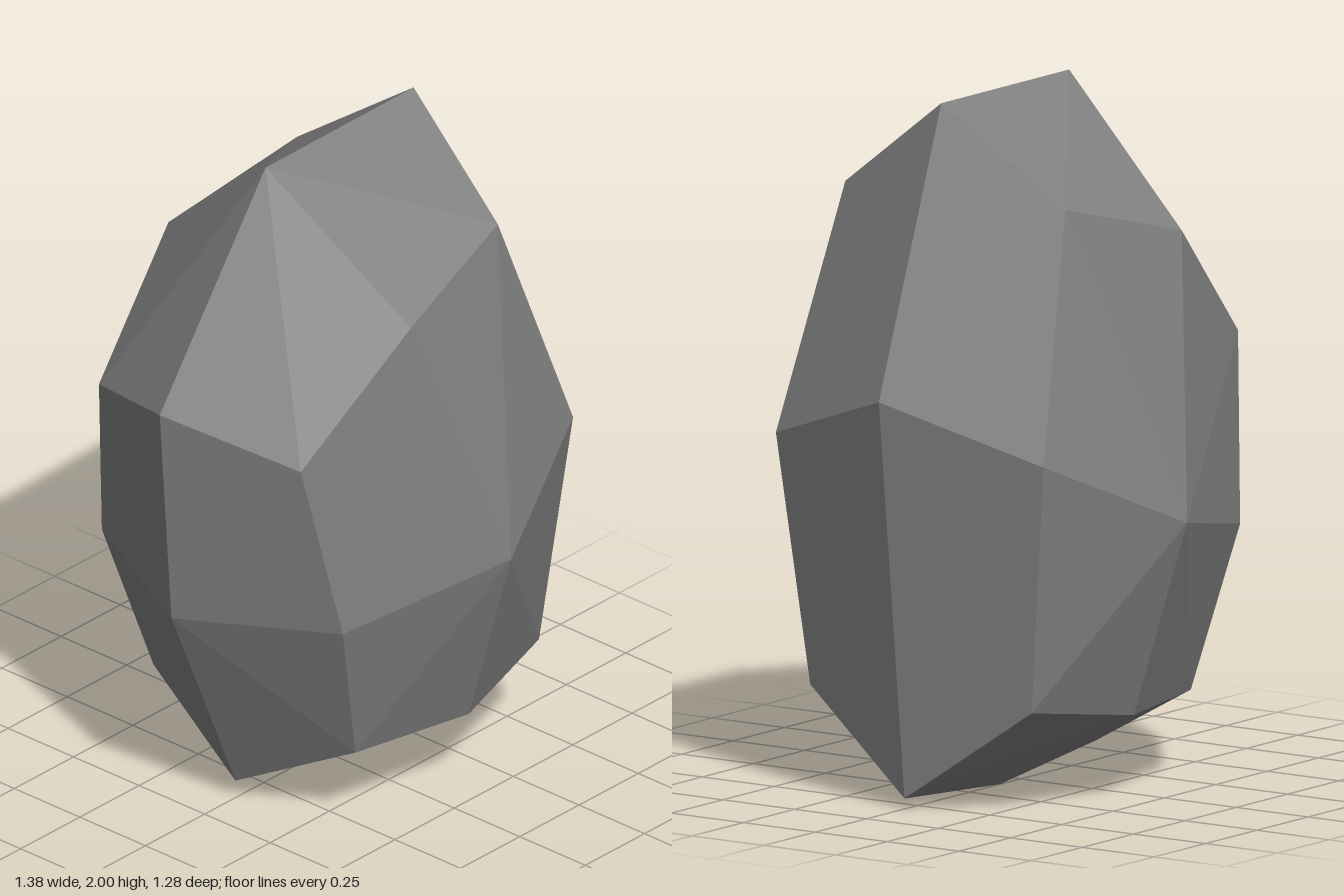
import * as THREE from 'three';

// Faceted boulder: a middle ring, a front and a back ring, and a peak on each side.
export function createModel() {
  const stone = new THREE.MeshStandardMaterial({ color: 0x808080 });
  stone.name = 'stone grey';
  stone.flatShading = true;

  const V = (x, y, z) => new THREE.Vector3(x, y, z);
  // Rings run clockwise from the upper left, as seen from the front
  const middle = [
    V(-0.265, 2, 0.02), V(0.365, 2, 0.015), V(0.69, 1.19, 0), V(0.565, 0.03, 0),
    V(0.10, 0, 0), V(-0.37, 0.055, 0), V(-0.64, 0.69, 0), V(-0.695, 1.37, 0.005),
  ];
  const front = [
    V(-0.155, 1.605, 0.475), V(0.30, 1.725, 0.395), V(0.54, 1.03, 0.465), V(0.485, 0.305, 0.385),
    V(0.10, 0.25, 0.465), V(-0.29, 0.255, 0.385), V(-0.425, 0.72, 0.46), V(-0.52, 1.255, 0.385),
  ];
  // The back mirrors the front, with the two upper corners slightly shallower
  const back = front.map((p, i) => V(p.x, p.y, -p.z + (i < 2 ? 0.025 : 0)));

  const positions = [];
  const centre = V(0, 1, 0);
  const normal = new THREE.Vector3();
  const triangle = (a, b, c) => {
    normal.crossVectors(b.clone().sub(a), c.clone().sub(a));
    const outward = normal.dot(a.clone().sub(centre)) > 0;
    for (const p of outward ? [a, b, c] : [a, c, b]) positions.push(p.x, p.y, p.z);
  };
  // Split each four-sided facet along its raised diagonal
  const quad = (a, b, c, d) => {
    const ac = a.clone().add(c), bd = b.clone().add(d);
    normal.crossVectors(c.clone().sub(a), d.clone().sub(b));
    if (normal.dot(a.clone().sub(centre)) < 0) normal.negate();
    if (normal.dot(ac) >= normal.dot(bd)) {
      triangle(a, b, c);
      triangle(a, c, d);
    } else {
      triangle(a, b, d);
      triangle(b, c, d);
    }
  };

  for (const [ring, peak] of [[front, V(0.085, 0.82, 0.64)], [back, V(0.085, 0.82, -0.64)]]) {
    // Side facets
    for (let i = 0; i < 8; i++) {
      const j = (i + 1) % 8;
      quad(middle[i], middle[j], ring[j], ring[i]);
    }
    // Four broad facets around the peak
    for (let i = 0; i < 8; i += 2) quad(ring[i], ring[i + 1], ring[(i + 2) % 8], peak);
  }

  const geometry = new THREE.BufferGeometry();
  geometry.setAttribute('position', new THREE.Float32BufferAttribute(positions, 3));
  geometry.computeVertexNormals();

  const boulder = new THREE.Mesh(geometry, stone);
  boulder.name = 'boulder';
  const group = new THREE.Group();
  group.name = 'rock';
  group.add(boulder);
  return group;
}
